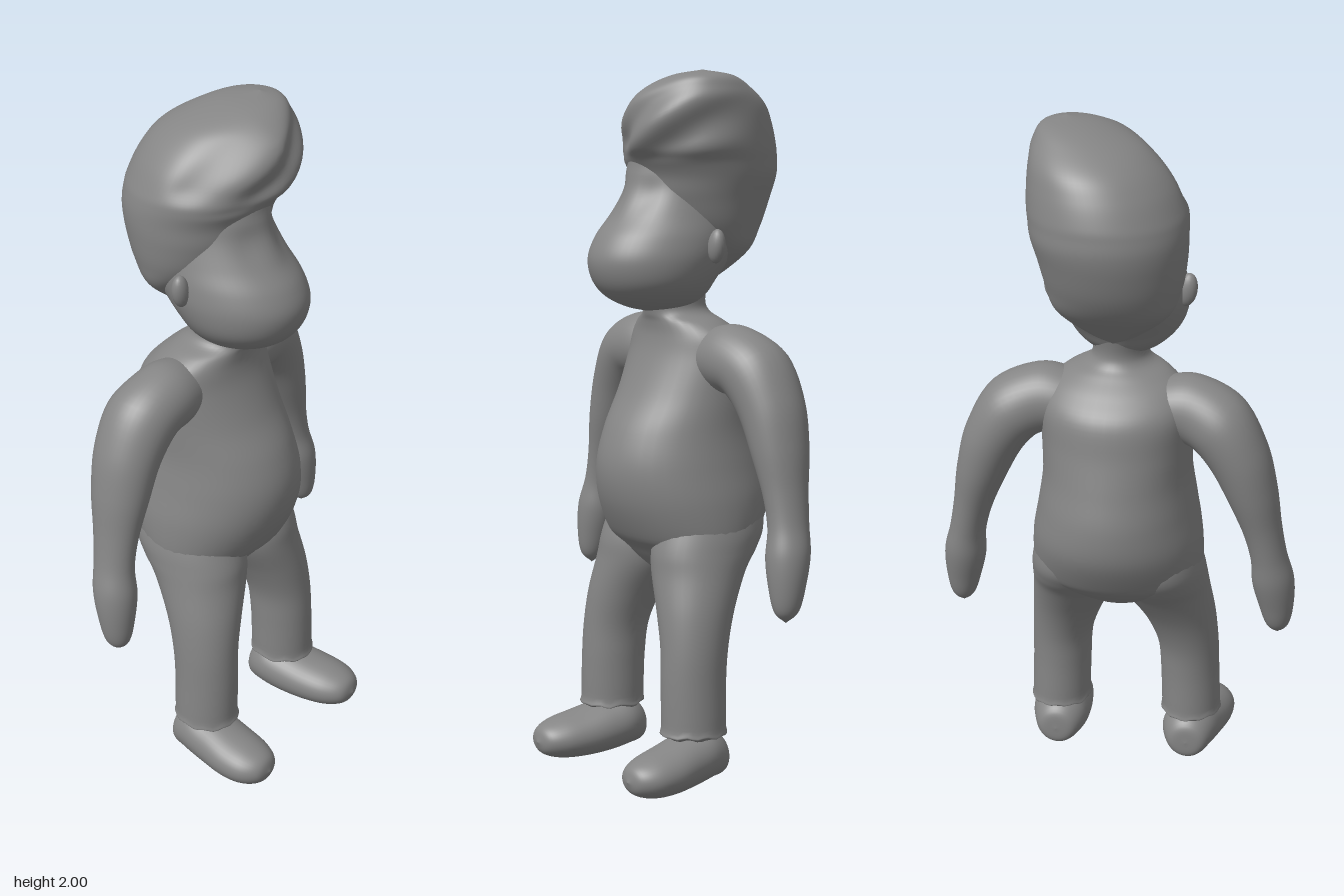
import * as THREE from 'three';

const V = (x, y, z) => new THREE.Vector3(x, y, z);
const material = new THREE.MeshStandardMaterial({ color: 0x858585 });

// Smooth skin over elliptical rings { c: centre, u, v: half axes }, with u x v along the path
function loft(name, rings, { steps = 6, sides = 40, deform } = {}) {
  const curve = (key) => new THREE.CatmullRomCurve3(rings.map((r) => r[key]), false, 'catmullrom', 0.5);
  const [C, U, W] = ['c', 'u', 'v'].map(curve);
  const rows = (rings.length - 1) * steps;
  const positions = [], index = [];
  for (let i = 0; i <= rows; i++) {
    const t = i / rows, c = C.getPoint(t), u = U.getPoint(t), v = W.getPoint(t);
    for (let j = 0; j < sides; j++) {
      const a = (j / sides) * Math.PI * 2;
      const p = c.clone().addScaledVector(u, Math.cos(a)).addScaledVector(v, Math.sin(a));
      if (deform) deform(p, c);
      positions.push(p.x, p.y, p.z);
      if (i === rows) continue;
      const k = i * sides + j, n = i * sides + ((j + 1) % sides);
      index.push(k, n, n + sides, k, n + sides, k + sides);
    }
  }
  const geometry = new THREE.BufferGeometry();
  geometry.setAttribute('position', new THREE.Float32BufferAttribute(positions, 3));
  geometry.setIndex(index);
  geometry.computeVertexNormals();
  const mesh = new THREE.Mesh(geometry, material);
  mesh.name = name;
  return mesh;
}

// Horizontal rings: [y, centre x, half width, front z, back z], bottom to top
const upright = (rows) => rows.map(([y, x, w, f, b]) => ({
  c: V(x, y, (f + b) / 2), u: V(0, 0, (f - b) / 2), v: V(w, 0, 0),
}));
// Rings facing forward: [z, centre x, half width, top y, bottom y], back to front
const forward = (rows) => rows.map(([z, x, w, t, b]) => ({
  c: V(x, (t + b) / 2, z), u: V(w, 0, 0), v: V(0, (t - b) / 2, 0),
}));
// Rings square to a path: [x, y, z, radius across, radius in depth]
const along = (rows) => rows.map(([x, y, z, a, b], i) => {
  const p = rows[Math.max(i - 1, 0)], q = rows[Math.min(i + 1, rows.length - 1)];
  const t = V(q[0] - p[0], q[1] - p[1], 0).normalize();
  return { c: V(x, y, z), u: V(-t.y, t.x, 0).multiplyScalar(a), v: V(0, 0, b) };
});
const flip = (p) => V(-p.x, p.y, p.z);
const mirror = (rings) => rings.map(({ c, u, v }) => ({ c: flip(c), u: flip(v), v: flip(u) }));

const bump = (d, r) => Math.exp(-(d * d) / (r * r));
const { smoothstep } = THREE.MathUtils;

export function createModel() {
  const model = new THREE.Group();
  model.name = 'figure';

  // Pear-shaped body with a round belly, running up into the neck
  model.add(loft('torso', upright([
    [0.572, 0, 0, -0.03, -0.03], [0.585, 0, 0.08, 0.04, -0.11], [0.62, 0, 0.165, 0.085, -0.165],
    [0.66, 0, 0.225, 0.118, -0.215], [0.7, 0, 0.245, 0.155, -0.25], [0.8, 0, 0.243, 0.2, -0.3],
    [0.9, 0, 0.226, 0.212, -0.308], [1.0, 0, 0.212, 0.185, -0.288], [1.1, 0, 0.212, 0.13, -0.265],
    [1.2, 0, 0.213, 0.085, -0.245], [1.26, 0, 0.195, 0.068, -0.195], [1.3, 0, 0.145, 0.068, -0.148],
    [1.325, 0, 0.09, 0.075, -0.12], [1.36, 0, 0.076, 0.08, -0.11], [1.43, 0, 0.085, 0.08, -0.125],
  ])));

  // Head with a full muzzle and shallow eye hollows
  model.add(loft('head', upright([
    [1.33, -0.005, 0, 0.07, 0.07], [1.345, -0.005, 0.08, 0.135, -0.05], [1.375, -0.005, 0.128, 0.195, -0.1],
    [1.42, -0.005, 0.162, 0.232, -0.13], [1.48, -0.005, 0.177, 0.245, -0.18], [1.54, -0.005, 0.175, 0.222, -0.22],
    [1.6, -0.005, 0.163, 0.175, -0.24], [1.67, -0.005, 0.147, 0.138, -0.25], [1.73, -0.005, 0.133, 0.122, -0.24],
    [1.8, 0, 0.11, 0.1, -0.2], [1.84, 0, 0, 0, 0],
  ]), {
    sides: 56,
    deform(p) {
      if (p.z < 0) return;
      p.z -= 0.012 * bump(Math.abs(p.x + 0.005) - 0.065, 0.035) * bump(p.y - 1.655, 0.05);
    },
  }));

  // Swept-up hair, leaning to one side, with combed locks across the front
  model.add(loft('hair', upright([
    [1.4, 0, 0, -0.12, -0.12], [1.43, 0, 0.07, -0.09, -0.15], [1.5, 0, 0.157, -0.035, -0.222],
    [1.57, 0, 0.187, 0.05, -0.268], [1.65, 0.005, 0.204, 0.087, -0.297], [1.71, 0.013, 0.214, 0.1, -0.31],
    [1.755, 0.018, 0.217, 0.125, -0.308], [1.79, 0.025, 0.216, 0.15, -0.302], [1.85, 0.04, 0.203, 0.162, -0.28],
    [1.905, 0.062, 0.178, 0.15, -0.245], [1.95, 0.09, 0.143, 0.12, -0.18], [1.985, 0.13, 0.083, 0.07, -0.1],
    [2.0, 0.15, 0, 0, 0],
  ]), {
    sides: 72,
    deform(p, c) {
      const front = smoothstep(p.y, 1.74, 1.82) * smoothstep(p.z, -0.12, 0.08);
      const wave = 1 + 0.05 * front * (1 - smoothstep(p.y, 1.92, 1.99)) * Math.sin((p.y - 0.85 * p.x) * 40 + 0.9);
      p.x = c.x + (p.x - c.x) * wave;
      p.z = c.z + (p.z - c.z) * wave + 0.25 * front * Math.min(p.x - 0.03, 0);
    },
  }));

  // Limbs, given for the left and mirrored to the right
  const arm = along([
    [0.02, 1.19, -0.07, 0, 0], [0.07, 1.195, -0.07, 0.062, 0.07], [0.14, 1.202, -0.068, 0.088, 0.092],
    [0.21, 1.203, -0.069, 0.099, 0.099], [0.29, 1.17, -0.083, 0.098, 0.105], [0.35, 1.08, -0.09, 0.086, 0.098],
    [0.39, 0.97, -0.088, 0.072, 0.086], [0.42, 0.86, -0.083, 0.056, 0.068], [0.44, 0.77, -0.077, 0.052, 0.061],
    [0.453, 0.69, -0.066, 0.06, 0.064], [0.463, 0.61, -0.056, 0.051, 0.053], [0.468, 0.54, -0.05, 0.033, 0.035],
    [0.468, 0.508, -0.048, 0, 0],
  ]);
  const leg = upright([
    [0.15, 0.2, 0, 0.06, 0.06], [0.152, 0.2, 0.083, 0.155, -0.025], [0.18, 0.2, 0.087, 0.158, -0.03],
    [0.3, 0.196, 0.087, 0.158, -0.033], [0.4, 0.19, 0.09, 0.154, -0.045], [0.5, 0.168, 0.105, 0.148, -0.08],
    [0.6, 0.135, 0.126, 0.137, -0.14], [0.66, 0.125, 0.13, 0.132, -0.19], [0.72, 0.12, 0.127, 0.115, -0.22],
    [0.82, 0.11, 0.11, 0.08, -0.22],
  ]);
  const shoe = forward([
    [-0.033, 0.2, 0, 0.075, 0.075], [-0.024, 0.2, 0.052, 0.13, 0.025], [0.03, 0.2, 0.08, 0.165, 0.014],
    [0.1, 0.207, 0.088, 0.155, 0.004], [0.18, 0.219, 0.09, 0.136, 0], [0.25, 0.226, 0.079, 0.12, 0.006],
    [0.297, 0.227, 0.048, 0.098, 0.025], [0.313, 0.227, 0, 0.06, 0.06],
  ]);
  const ruffle = (p) => {
    if (p.y < 0.17) p.y += 0.006 * Math.sin(p.x * 90) * Math.cos(p.z * 70);
  };
  for (const [side, s, place] of [['left', 1, (r) => r], ['right', -1, mirror]]) {
    model.add(loft(side + 'Arm', place(arm)));
    model.add(loft(side + 'Leg', place(leg), { deform: ruffle }));
    model.add(loft(side + 'Shoe', place(shoe)));

    // Small oval ear below the hairline
    const ear = new THREE.Mesh(new THREE.SphereGeometry(1, 20, 14), material);
    ear.name = side + 'Ear';
    ear.scale.set(0.027, 0.048, 0.023);
    ear.position.set(s * 0.187, s > 0 ? 1.52 : 1.535, -0.022);
    ear.rotation.z = s * -0.15;
    model.add(ear);
  }
  return model;
}
